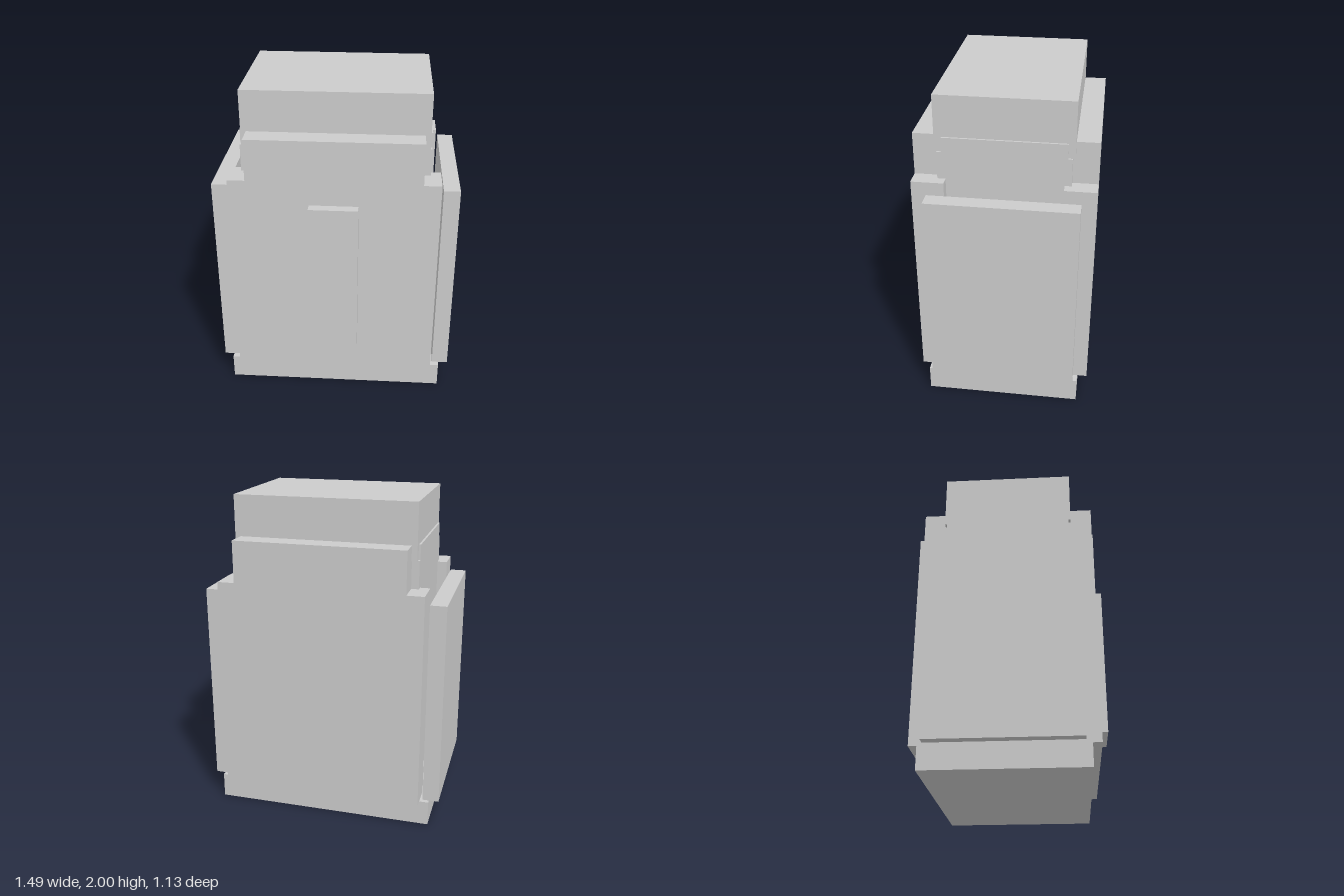
import * as THREE from 'three';

const material = new THREE.MeshStandardMaterial({ color: 0xcccccc, flatShading: true });

// Box given by its limits on each axis
function block(name, [x0, x1], [y0, y1], [z0, z1]) {
  const mesh = new THREE.Mesh(new THREE.BoxGeometry(x1 - x0, y1 - y0, z1 - z0), material);
  mesh.position.set((x0 + x1) / 2, (y0 + y1) / 2, (z0 + z1) / 2);
  mesh.name = name;
  return mesh;
}

// Slab with a stepped top: wide [a0, a1] up to yStep, narrow [b0, b1] up to yTop
function steppedSlab(name, [a0, a1], [b0, b1], yBase, yStep, yTop, depth) {
  const outline = [[a0, yBase], [a1, yBase], [a1, yStep], [b1, yStep],
    [b1, yTop], [b0, yTop], [b0, yStep], [a0, yStep]];
  const shape = new THREE.Shape(outline.map(([x, y]) => new THREE.Vector2(x, y)));
  const mesh = new THREE.Mesh(
    new THREE.ExtrudeGeometry(shape, { depth, bevelEnabled: false }), material);
  mesh.name = name;
  return mesh;
}

export function createModel() {
  const model = new THREE.Group();
  model.name = 'panelledBlock';

  // Plinth and cap
  model.add(block('base', [-0.685, 0.685], [0, 0.155], [-0.505, 0.45]));
  model.add(block('cap', [-0.555, 0.555], [1.66, 2], [-0.43, 0.373]));

  // Inner core, its stepped outline lying across the depth
  const core = steppedSlab('core', [-0.36, 0.415], [-0.33, 0.39], 0.15, 1.66, 1.75, 1.134);
  core.rotation.y = Math.PI / 2;
  core.position.x = -0.567;
  model.add(core);

  // Front and back stepped panels
  for (const [name, z, depth] of [['frontPanel', 0.312, 0.193], ['backPanel', -0.565, 0.19]]) {
    const panel = steppedSlab(name, [-0.628, 0.628], [-0.522, 0.522], 0.155, 1.493, 1.75, depth);
    panel.position.z = z;
    model.add(panel);
  }

  // Side panels standing slightly clear of the body
  for (const s of [1, -1]) {
    const panel = block(s > 0 ? 'leftPanel' : 'rightPanel',
      [-0.05, 0.05], [0.155, 1.42], [-0.478, 0.415]);
    panel.position.x = s * 0.695;
    model.add(panel);
  }

  // Raised plate on the front
  model.add(block('frontPlate', [-0.148, 0.148], [0.377, 1.345], [0.5, 0.565]));

  return model;
}
